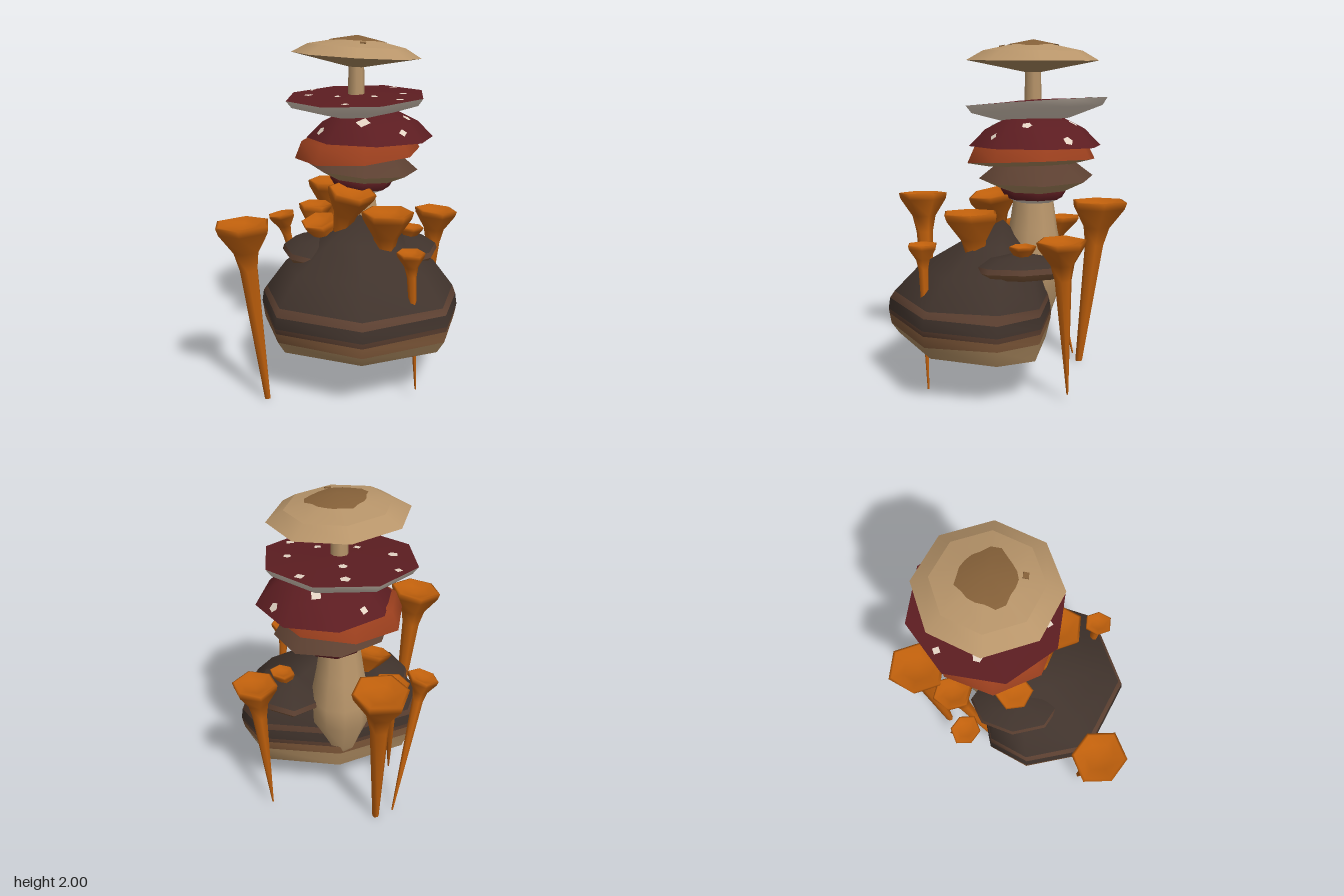
import * as THREE from 'three';
import { mergeVertices } from 'three/addons/utils/BufferGeometryUtils.js';

const mat = (name, color) => {
  const m = new THREE.MeshStandardMaterial({ color, side: THREE.DoubleSide });
  m.name = name;
  return m;
};

export function createModel() {
  const root = new THREE.Group();
  root.name = 'mushroomCluster';
  const dark = mat('dark bark', 0x40332c), brown = mat('bark brown', 0x5c4031);
  const ochre = mat('ochre band', 0x80593a), khaki = mat('khaki gills', 0xb08d62);
  const tan = mat('tan', 0xb8956a), patch = mat('brown patch', 0x866139);
  const red = mat('deep red', 0x5c1d21), rust = mat('rust orange', 0x983e1d);
  const white = mat('pale gills', 0xe4d4c4), orange = mat('trumpet orange', 0xc0600c);

  // Surface of revolution from [radius, y] pairs, listed bottom to top
  const lathe = (parent, name, pts, material, sides = 8) => {
    const geo = new THREE.LatheGeometry(pts.map(([r, y]) => new THREE.Vector2(r, y)), sides);
    const mesh = new THREE.Mesh(geo, material);
    mesh.name = name;
    parent.add(mesh);
    return mesh;
  };
  const group = (name, x, y, z, tiltX = 0, tiltZ = 0, turn = 0) => {
    const g = new THREE.Group();
    g.name = name;
    g.position.set(x, y, z);
    g.rotation.set(tiltX, turn, tiltZ);
    root.add(g);
    return g;
  };
  // Moves every vertex by a rule, then shades smoothly across the seam
  const reshape = (mesh, rule) => {
    const p = mesh.geometry.attributes.position, v = new THREE.Vector3();
    for (let i = 0; i < p.count; i++) {
      rule(v.fromBufferAttribute(p, i));
      p.setXYZ(i, v.x, v.y, v.z);
    }
    mesh.geometry.deleteAttribute('uv');
    mesh.geometry.deleteAttribute('normal');
    mesh.geometry = mergeVertices(mesh.geometry, 1e-5);
    mesh.geometry.computeVertexNormals();
  };

  // Large banded bracket: broad shoulders, flattened back, apex leaning back
  const bracket = group('largeBracket', 0.08, 0, 0.13);
  [
    ['bracketUnderside', [[0, 0.24], [0.3, 0.243], [0.545, 0.25]], khaki],
    ['bracketLip', [[0.545, 0.25], [0.59, 0.345]], khaki],
    ['ochreBand', [[0.59, 0.345], [0.6, 0.405]], ochre],
    ['lowerBrownBand', [[0.6, 0.405], [0.605, 0.435]], brown],
    ['darkBand', [[0.605, 0.435], [0.595, 0.5]], dark],
    ['upperBrownBand', [[0.595, 0.5], [0.575, 0.54]], brown],
    ['bracketTop', [[0.575, 0.54], [0.455, 0.69], [0.225, 0.835], [0, 0.96]], dark],
  ].forEach(([n, pts, m]) => reshape(lathe(bracket, n, pts, m), (v) => {
    const corner = Math.abs(v.x * v.z) / (v.x * v.x + v.z * v.z + 1e-6);
    v.x *= 0.97 + 0.28 * corner;
    v.z *= (1 - 0.16 * corner) * (v.z < 0 ? 0.62 : 1);
    // Underside dips toward the back
    if (v.y < 0.3) v.y += 0.06 * v.z;
    v.z -= 0.17 * Math.max(0, v.y - 0.5);
    // Growth bands waver around the side
    if (v.y > 0.36 && v.y < 0.52) v.y += 0.012 * Math.sin(3 * Math.atan2(v.x, v.z));
  }));

  // Small shelves growing from its sides
  [
    ['leftShelf', 0.36, 0.68, -0.02, 0.2, 0.27, 0.08],
    ['rightShelf', -0.18, 0.69, 0.03, 0.21, 0.28, -0.08],
  ].forEach(([n, x, y, z, rx, rz, tilt]) => {
    const g = group(n, x, y, z, 0, tilt);
    g.scale.set(rx, 1, rz);
    lathe(g, 'shelfUnderside', [[0, 0], [0.85, 0.0], [1, 0.035]], ochre);
    lathe(g, 'shelfRim', [[1, 0.035], [0.96, 0.065]], brown);
    lathe(g, 'shelfTop', [[0.96, 0.065], [0.6, 0.11], [0, 0.14]], dark);
  });

  // Bulging main stem with a little foot
  const stem = group('mainStem', 0.06, 0, -0.13);
  lathe(stem, 'stemBody', [[0, 0.27], [0.075, 0.28], [0.11, 0.38], [0.18, 0.58], [0.18, 0.72],
    [0.145, 0.9], [0.115, 1.1]], tan, 10);
  lathe(stem, 'stemFoot', [[0, 0.219], [0.06, 0.222], [0.06, 0.27], [0.035, 0.31]], khaki);
  lathe(stem, 'innerStem', [[0.11, 1.09], [0.1, 1.55]], tan);

  // Spots lie on the flat faces of a cone between two [radius, y] rings
  const spots = (parent, lo, hi, list) => {
    const k = Math.cos(Math.PI / 8);
    const slope = Math.atan2((lo[0] - hi[0]) * k, hi[1] - lo[1]);
    list.forEach(([face, t, size, side], i) => {
      const holder = new THREE.Group();
      holder.rotation.y = ((face + 0.5) * Math.PI) / 4;
      const s = new THREE.Mesh(new THREE.CircleGeometry(size, 4 + (i % 2)), white);
      s.name = 'spot';
      const r = (lo[0] + (hi[0] - lo[0]) * t) * k;
      s.position.set(side, lo[1] + (hi[1] - lo[1]) * t + 0.004, r + 0.003);
      s.rotation.set(-slope, 0, 0);
      s.rotateZ(i * 1.3);
      holder.add(s);
      parent.add(holder);
    });
  };

  // Stacked caps, lowest first
  const smallCap = group('smallRedCap', 0.1, 1.08, -0.13);
  lathe(smallCap, 'smallGills', [[0.11, -0.01], [0.165, 0.012]], white);
  lathe(smallCap, 'smallCapTop', [[0.165, 0.012], [0.2, 0.07], [0.15, 0.12], [0, 0.14]], red);

  const brownCap = group('brownCap', 0.105, 1.215, -0.14, 0.02, -0.06);
  lathe(brownCap, 'brownCapGills', [[0.1, -0.06], [0.2, -0.065], [0.335, 0]], khaki);
  lathe(brownCap, 'brownCapTop', [[0.335, 0], [0.22, 0.09], [0, 0.12]], brown);

  const rustCap = group('rustCap', 0.07, 1.305, -0.12, 0.02, 0.07, 0.1);
  lathe(rustCap, 'rustCapGills', [[0.1, -0.03], [0.25, -0.025], [0.383, 0]], khaki);
  lathe(rustCap, 'rustCapTop', [[0.383, 0], [0.335, 0.1], [0.2, 0.14], [0, 0.15]], rust);

  const redCap = group('redCap', 0.145, 1.4, -0.13, 0, 0, 0.06);
  lathe(redCap, 'redCapGills', [[0.1, -0.005], [0.385, 0]], white);
  lathe(redCap, 'redCapTop', [[0.385, 0], [0.29, 0.095], [0.17, 0.155], [0, 0.165]], red);
  spots(redCap, [0.385, 0], [0.29, 0.095], [[0, 0.6, 0.026, 0.05], [2, 0.4, 0.03, 0],
    [4, 0.5, 0.025, 0.04], [6, 0.5, 0.03, -0.03]]);
  spots(redCap, [0.29, 0.095], [0.17, 0.155], [[7, 0.3, 0.045, 0.03], [1, 0.4, 0.03, 0],
    [3, 0.5, 0.035, 0], [5, 0.4, 0.03, 0]]);

  // Upturned cap with pale underside and spotted top
  const dish = group('upturnedCap', 0.06, 1.54, -0.145, 0.05, 0.03, 0.32);
  lathe(dish, 'dishGills', [[0.1, 0], [0.2, 0.005], [0.4, 0.065], [0.432, 0.108]], white);
  lathe(dish, 'dishTop', [[0.432, 0.108], [0.25, 0.113], [0, 0.123]], red);
  spots(dish, [0.432, 0.108], [0.25, 0.113], [[0, 0.4, 0.028, 0.04], [1, 0.7, 0.024, 0],
    [2, 0.3, 0.03, 0.03], [3, 0.5, 0.03, 0], [4, 0.3, 0.024, 0.05], [5, 0.7, 0.03, 0],
    [7, 0.4, 0.024, -0.04]]);
  spots(dish, [0.25, 0.113], [0, 0.123], [[0, 0.3, 0.024, 0], [3, 0.3, 0.026, 0], [6, 0.4, 0.024, 0]]);

  // Topmost tan cap on its thin stem
  lathe(group('topStem', 0.06, 1.65, -0.125), 'topStemBody', [[0.05, 0], [0.046, 0.2]], tan);
  const topCap = group('topCap', 0.06, 1.885, -0.125, 0, -0.055);
  lathe(topCap, 'topCapGills', [[0, -0.068], [0.05, -0.066], [0.387, 0]], khaki);
  lathe(topCap, 'topCapEdge', [[0.387, 0], [0.29, 0.055]], tan);
  lathe(topCap, 'topCapCrown', [[0.29, 0.055], [0.15, 0.084], [0, 0.113]], tan);
  // Ragged patch with a few points running outward
  const points = [1.03, 1, 0.97, 1.02, 1.22, 1.2, 1, 1, 0.98, 1, 1, 1.12, 0.98, 1, 1, 1, 1.2, 1.18, 1, 1];
  reshape(lathe(topCap, 'topCapPatch', [[0.148, 0.089], [0, 0.118]], patch, 20), (v) => {
    const r = Math.hypot(v.x, v.z);
    if (r < 0.01) return;
    const k = points[(Math.round(Math.atan2(v.x, v.z) / (Math.PI / 10)) + 20) % 20];
    v.set(v.x * k, v.y - r * (k - 1) * 0.2, v.z * k);
  });
  const fleck = new THREE.Mesh(new THREE.BoxGeometry(0.034, 0.006, 0.03), patch);
  fleck.name = 'patchFleck';
  fleck.position.set(0.03, 0.08, 0.185);
  fleck.rotation.x = 0.2;
  topCap.add(fleck);

  // Trumpets: level rings sheared from a foot point to a mouth point
  const trumpet = (name, top, foot, R, footR = 0.005, turn = 0, tiltX = 0, tiltZ = 0) => {
    const h = top[1] - foot[1];
    const y = (d) => Math.max(0.02, 1 - d / h);
    const mesh = lathe(root, name, [[0, 0], [footR, 0.001], [R * 0.34, y(R * 1.6)],
      [R * 0.48, y(R * 0.95)], [R * 0.94, y(R * 0.24)], [R, 1], [R * 0.9, y(-0.004)],
      [R * 0.5, y(R * 0.12)], [0, y(R * 0.2)]], orange, 6);
    const c = Math.cos(turn), s = Math.sin(turn);
    reshape(mesh, (v) => {
      const wave = 1 + 0.07 * Math.sin(2 * Math.atan2(v.x, v.z) + turn * 5), t = v.y;
      const x = (v.x * c + v.z * s) * wave, z = (v.z * c - v.x * s) * wave;
      v.set(foot[0] + (top[0] - foot[0]) * t + x, foot[1] + h * t - tiltX * z + tiltZ * x,
        foot[2] + (top[2] - foot[2]) * t + z);
    });
  };
  trumpet('frontRightTrumpet', [-0.555, 1.04, 0.54], [-0.45, 0.0, 0.505], 0.16, 0.018, 0, 0, 0.06);
  trumpet('backTrumpet', [-0.095, 1.035, -0.565], [-0.11, 0.0, -0.45], 0.172, 0.022, 0.5);
  trumpet('leftTrumpet', [0.57, 0.92, -0.22], [0.515, 0.04, -0.27], 0.135, 0.005, 0.2, 0, -0.05);
  trumpet('rightTrumpet', [-0.415, 0.885, -0.25], [-0.22, 0.01, -0.43], 0.09, 0.005, 0, 0, 0.2);
  trumpet('backRightTrumpet', [-0.2, 0.925, -0.35], [-0.27, 0.05, -0.07], 0.115, 0.005, 0.4);
  trumpet('frontTrumpet', [0.235, 1.025, 0.25], [0.19, 0.15, 0.15], 0.162, 0.02, 0.5);
  trumpet('smallFrontTrumpet', [0.345, 0.87, 0.52], [0.39, 0.05, 0.5], 0.085, 0.005, 0.5);
  trumpet('centreTrumpet', [0.035, 1.115, 0.1], [-0.06, 0.78, 0.07], 0.15, 0.03, 0.3, 0.15, -0.12);
  trumpet('sideTrumpet', [-0.165, 0.915, 0.02], [-0.05, 0.65, 0.0], 0.115, 0.02, 0.2, 0.2, 0.2);
  trumpet('smallLeftTrumpet', [0.4, 0.86, -0.03], [0.33, 0.6, -0.04], 0.075, 0.01, 0.1);

  return root;
}
